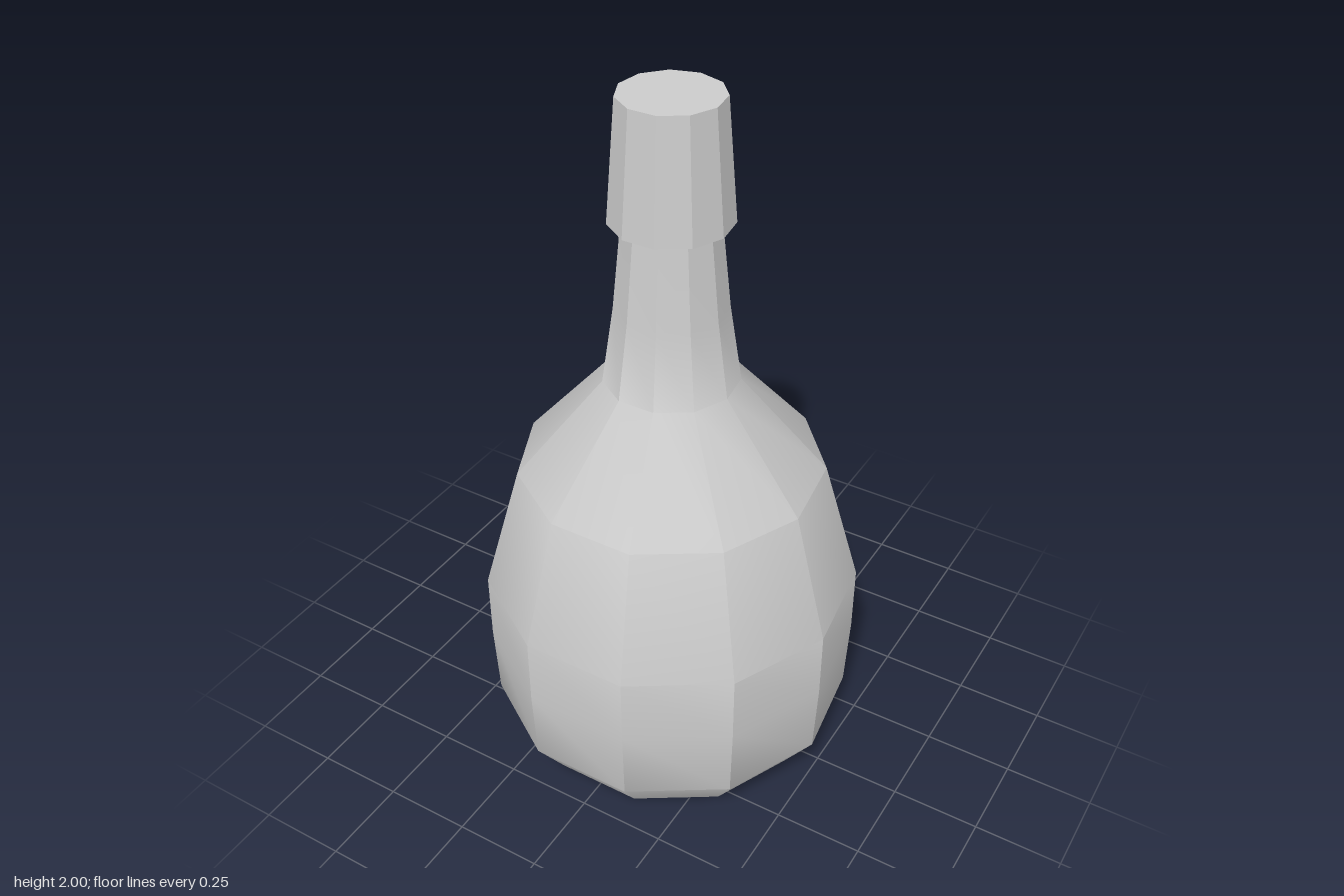
import * as THREE from 'three';
import { toCreasedNormals } from 'three/addons/utils/BufferGeometryUtils.js';

const SIDES = 11;
const CREASE = 0.555; // steep walls stay faceted, the shoulder blends smoothly

// Eleven-sided turned part with one corner at the back; profile is [radius, height] from bottom to top
function turned(name, profile, material) {
  const points = profile.map(([r, y]) => new THREE.Vector2(r, y));
  const lathe = new THREE.LatheGeometry(points, SIDES, Math.PI);
  const mesh = new THREE.Mesh(toCreasedNormals(lathe, CREASE), material);
  mesh.name = name;
  return mesh;
}

export function createModel() {
  const group = new THREE.Group();
  group.name = 'bottle';
  const grey = new THREE.MeshStandardMaterial({ color: 0xcccccc, side: THREE.DoubleSide });

  // Slightly domed base, chamfer, belly, shoulder and tapering neck
  const body = turned('bottleBody', [
    [0, 0.005], [0.43, 0.02], [0.52, 0.15], [0.53, 0.37], [0.53, 0.57],
    [0.425, 0.935], [0.185, 1.21], [0.152, 1.43], [0.128, 1.67],
  ], grey);

  // Closed collar with an overhanging lower rim
  const collar = turned('neckCollar', [
    [0.128, 1.67], [0.163, 1.67], [0.137, 2], [0, 2],
  ], grey);

  group.add(body, collar);
  // An odd number of sides is off-centre front to back
  group.children.forEach((part) => { part.position.z = 0.01; });
  return group;
}
